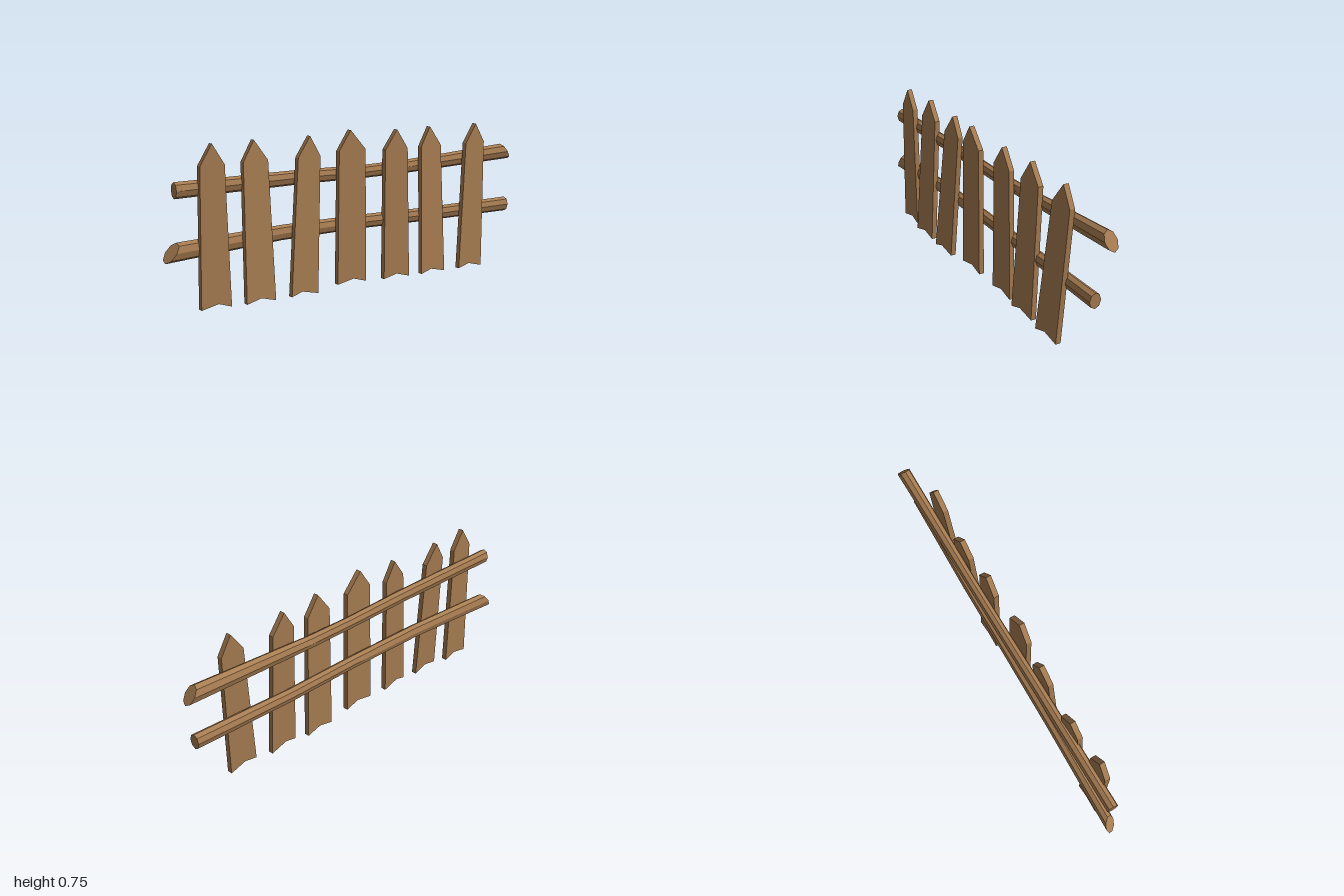
import * as THREE from 'three';

const wood = new THREE.MeshStandardMaterial({ color: 0xa87d52 });
wood.name = 'wood';

// Rebuild a geometry with one normal per face
function faceted(geometry) {
  const flat = geometry.index ? geometry.toNonIndexed() : geometry;
  flat.computeVertexNormals();
  return flat;
}

// Move every vertex by a rule
function deform(geometry, rule) {
  const pos = geometry.attributes.position;
  const v = new THREE.Vector3();
  for (let i = 0; i < pos.count; i++) {
    rule(v.fromBufferAttribute(pos, i));
    pos.setXYZ(i, v.x, v.y, v.z);
  }
  return geometry;
}

// Pointed board with a notched foot, leaning sideways and backwards
function makePicket({ foot, head, lift = 0, depth, yaw = 0, notch = 0 }) {
  const [footL, footR] = foot, [headL, headR, tip] = head;
  const [zFoot, zHead] = depth;
  const shape = new THREE.Shape([
    [footL, 0.015], [(footL + footR) / 2 + notch, 0.032], [footR, 0.01],
    [headR, 0.652], [tip, 0.747], [headL, 0.652],
  ].map(([x, y]) => new THREE.Vector2(x, y + lift)));
  const thickness = 0.026;
  const geometry = new THREE.ExtrudeGeometry(shape, { depth: thickness, bevelEnabled: false });
  const mid = (footL + footR + headL + headR) / 4;
  deform(geometry, (v) => {
    v.z += THREE.MathUtils.lerp(zFoot, zHead, v.y / 0.747) - thickness / 2 + yaw * (v.x - mid);
  });
  return new THREE.Mesh(faceted(geometry), wood);
}

// Eight-sided pole through stations [x, y, z, radiusY, radiusZ], with optional slanted ends
function makeRail(stations, cutLeft, cutRight) {
  const last = stations.length - 1;
  const geometry = new THREE.CylinderGeometry(1, 1, 1, 8, last);
  geometry.rotateZ(-Math.PI / 2);
  deform(geometry, (v) => {
    const i = Math.round((v.x + 0.5) * last);
    const [x, y, z, ry, rz] = stations[i];
    const slant = i === 0 ? cutLeft : i === last ? cutRight : [0, 0];
    v.set(x + slant[0] * v.y + slant[1] * v.z, y + ry * v.y, z + rz * v.z);
  });
  return new THREE.Mesh(faceted(geometry), wood);
}

export function createModel() {
  const fence = new THREE.Group();
  fence.name = 'picketFence';

  // Pickets from right to left of the fence
  const pickets = [
    { foot: [-0.85, -0.70], head: [-0.84, -0.72, -0.78], depth: [-0.008, -0.008], notch: 0.01 },
    { foot: [-0.64, -0.485], head: [-0.625, -0.495, -0.565], depth: [0.02, -0.022], yaw: -0.05 },
    { foot: [-0.41, -0.26], head: [-0.35, -0.225, -0.28], depth: [0.027, -0.003], yaw: -0.06, notch: -0.015 },
    { foot: [-0.145, 0.02], head: [-0.135, 0.015, -0.07], depth: [0.018, 0.019], lift: 0.016, notch: 0.008 },
    { foot: [0.135, 0.29], head: [0.14, 0.275, 0.21], depth: [0.01, 0.01] },
    { foot: [0.35, 0.505], head: [0.365, 0.495, 0.425], depth: [0.032, -0.003], yaw: -0.06, notch: -0.012 },
    { foot: [0.58, 0.735], head: [0.64, 0.765, 0.71], depth: [0.05, 0.018], yaw: -0.04, notch: -0.008 },
  ];
  pickets.forEach((spec, i) => {
    const picket = makePicket(spec);
    picket.name = `picket${i + 1}`;
    fence.add(picket);
  });

  // Two slightly bent rails behind the pickets
  const upperRail = makeRail([
    [-0.945, 0.552, -0.038, 0.037, 0.028],
    [-0.3, 0.555, -0.035, 0.034, 0.026],
    [0.05, 0.55, -0.034, 0.032, 0.025],
    [0.3, 0.553, -0.034, 0.033, 0.025],
    [0.967, 0.581, -0.032, 0.04, 0.032],
  ], [0, 0], [-0.028, 0]);
  upperRail.name = 'upperRail';

  const lowerRail = makeRail([
    [-0.967, 0.281, -0.038, 0.044, 0.028],
    [-0.42, 0.308, -0.026, 0.036, 0.026],
    [0.0, 0.311, -0.018, 0.034, 0.026],
    [0.4, 0.304, -0.01, 0.034, 0.026],
    [0.937, 0.307, 0.01, 0.037, 0.029],
  ], [0.028, 0.015], [0, 0]);
  lowerRail.name = 'lowerRail';

  fence.add(upperRail, lowerRail);
  return fence;
}
